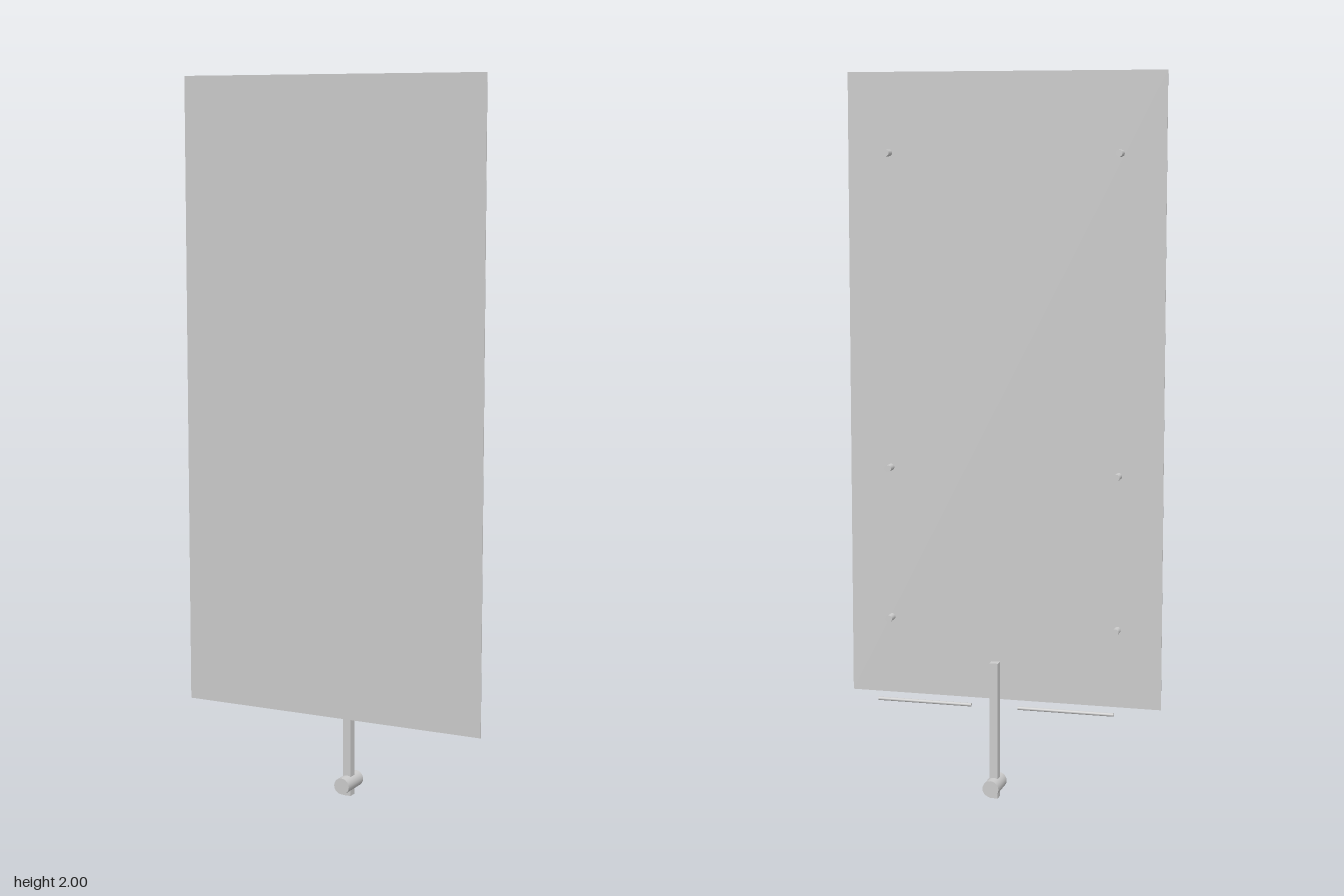
import * as THREE from 'three';

const grey = new THREE.MeshStandardMaterial({ color: 0xcccccc });

function add(parent, name, geometry, x, y, z) {
  const mesh = new THREE.Mesh(geometry, grey);
  mesh.name = name;
  mesh.position.set(x, y, z);
  parent.add(mesh);
  return mesh;
}

// Cylinder lying along z
const rodZ = (radius, length) =>
  new THREE.CylinderGeometry(radius, radius, length, 20).rotateX(Math.PI / 2);

// Cylinder lying along x
const rodX = (radius, length) =>
  new THREE.CylinderGeometry(radius, radius, length, 12).rotateZ(Math.PI / 2);

export function createModel() {
  const model = new THREE.Group();
  model.name = 'panelOnPost';

  // Thin upright panel at the front
  add(model, 'panel', new THREE.BoxGeometry(0.896, 1.748, 0.002), 0, 1.126, 0.076);

  // Square post with a round cross barrel near its foot
  add(model, 'post', new THREE.BoxGeometry(0.024, 0.385, 0.024), 0, 0.1925, -0.032);
  add(model, 'barrel', rodZ(0.023, 0.09), 0, 0.036, -0.032);

  for (const [side, label] of [[1, 'left'], [-1, 'right']]) {
    // Slim horizontal bars beside the post
    add(model, label + 'Bar', rodX(0.005, 0.27), side * 0.202, 0.26, -0.032);
    // Short standoff pins behind the panel
    for (const y of [0.475, 0.905, 1.78]) {
      add(model, label + 'Pin', rodZ(0.0095, 0.032), side * 0.326, y, 0.046);
    }
  }
  return model;
}
